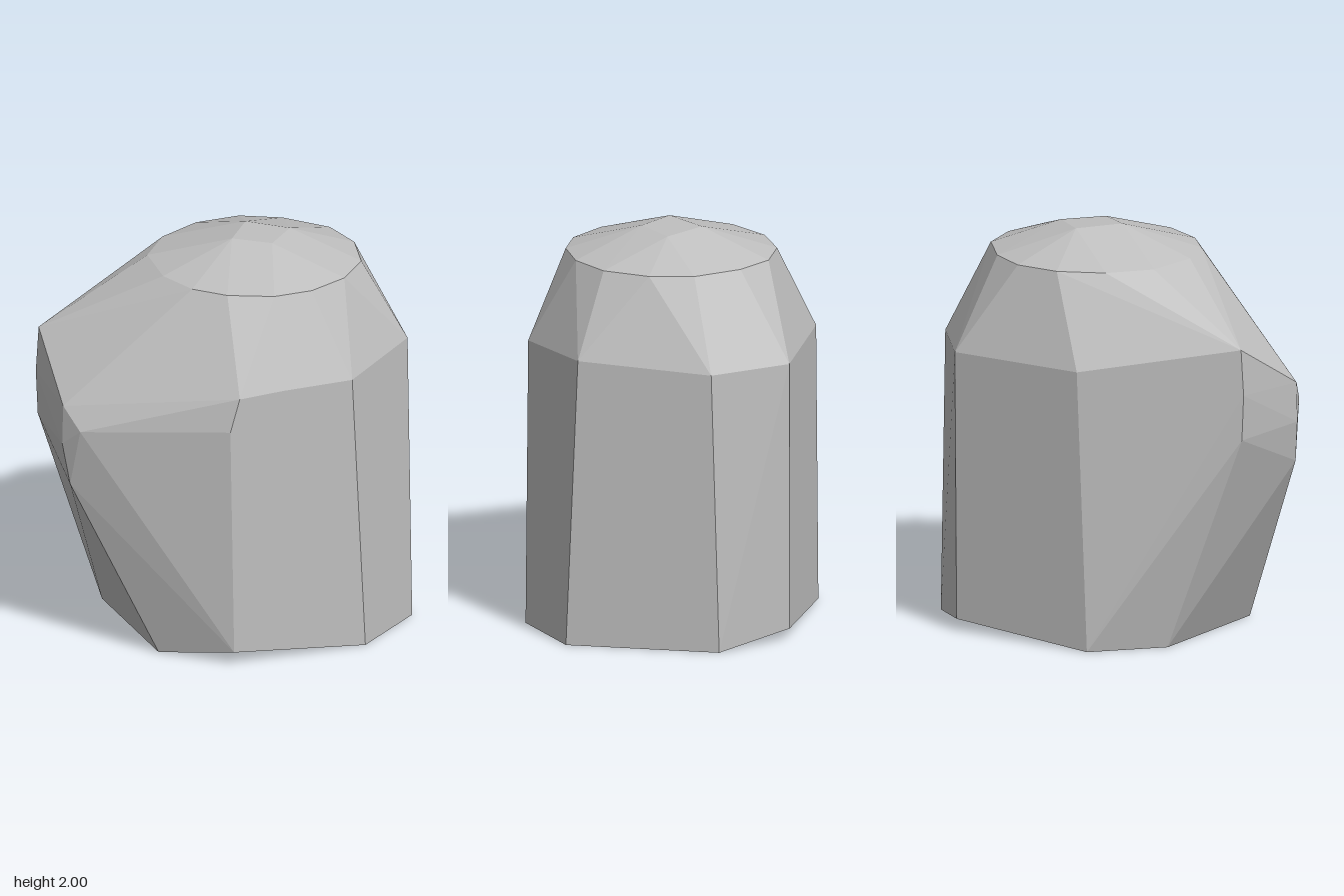
import * as THREE from 'three';
import { ConvexGeometry } from 'three/addons/geometries/ConvexGeometry.js';

// Level outline: [x, z] corners lifted to one height
const level = (y, corners) => corners.map(([x, z]) => new THREE.Vector3(x, y, z));
const points = (list) => list.map((p) => new THREE.Vector3(...p));

export function createModel() {
  const group = new THREE.Group();
  group.name = 'facetedBlock';
  const stone = new THREE.MeshStandardMaterial({ color: 0xbfbfbf });
  stone.name = 'stoneGrey';

  // Flat foot, with two chipped corners
  const foot = [
    ...level(0, [[0.52, 0.67], [0.88, 0.4], [0.88, -0.37], [-0.18, -0.67], [-0.46, -0.37], [-0.46, 0.37]]),
    ...points([[-0.18, 0.07, 0.67], [0.59, 0.06, -0.67]]),
  ];

  // Top of the upright walls
  const shoulder = points([
    [0.45, 1.43, 0.67], [0.08, 1.43, 0.672], [-0.15, 1.42, 0.67], [-0.2, 1.25, 0.67],
    [0.88, 1.46, 0.34], [0.88, 1.42, -0.33], [0.6, 1.42, -0.67], [-0.12, 1.42, -0.67],
  ]);

  // Bulge leaning out on the right side
  const bulge = points([
    [-0.835, 1.55, -0.28], [-0.85, 1.32, -0.28], [-0.84, 1.09, -0.28],
    [-0.88, 1.3, 0.15], [-0.885, 1.1, 0.15], [-0.855, 0.89, 0.18], [-0.83, 1.19, 0.25],
  ]);

  // Rim of the domed cap and its crown
  const rim = level(1.87, [
    [0.1, -0.515], [0.33, -0.515], [0.52, -0.41], [0.69, -0.21], [0.73, 0.01], [0.67, 0.25], [0.51, 0.42],
    [0.3, 0.51], [0.1, 0.51], [-0.11, 0.41], [-0.24, 0.27], [-0.31, 0.06], [-0.28, -0.22], [-0.12, -0.41],
  ]);
  const crown = points([[0.07, 2, 0.03], [0.24, 1.99, 0.14], [0.22, 1.995, -0.16], [0.4, 1.985, -0.02]]);

  const body = new THREE.Mesh(new ConvexGeometry([...foot, ...shoulder, ...bulge, ...rim, ...crown]), stone);
  body.name = 'body';
  group.add(body);
  return group;
}
